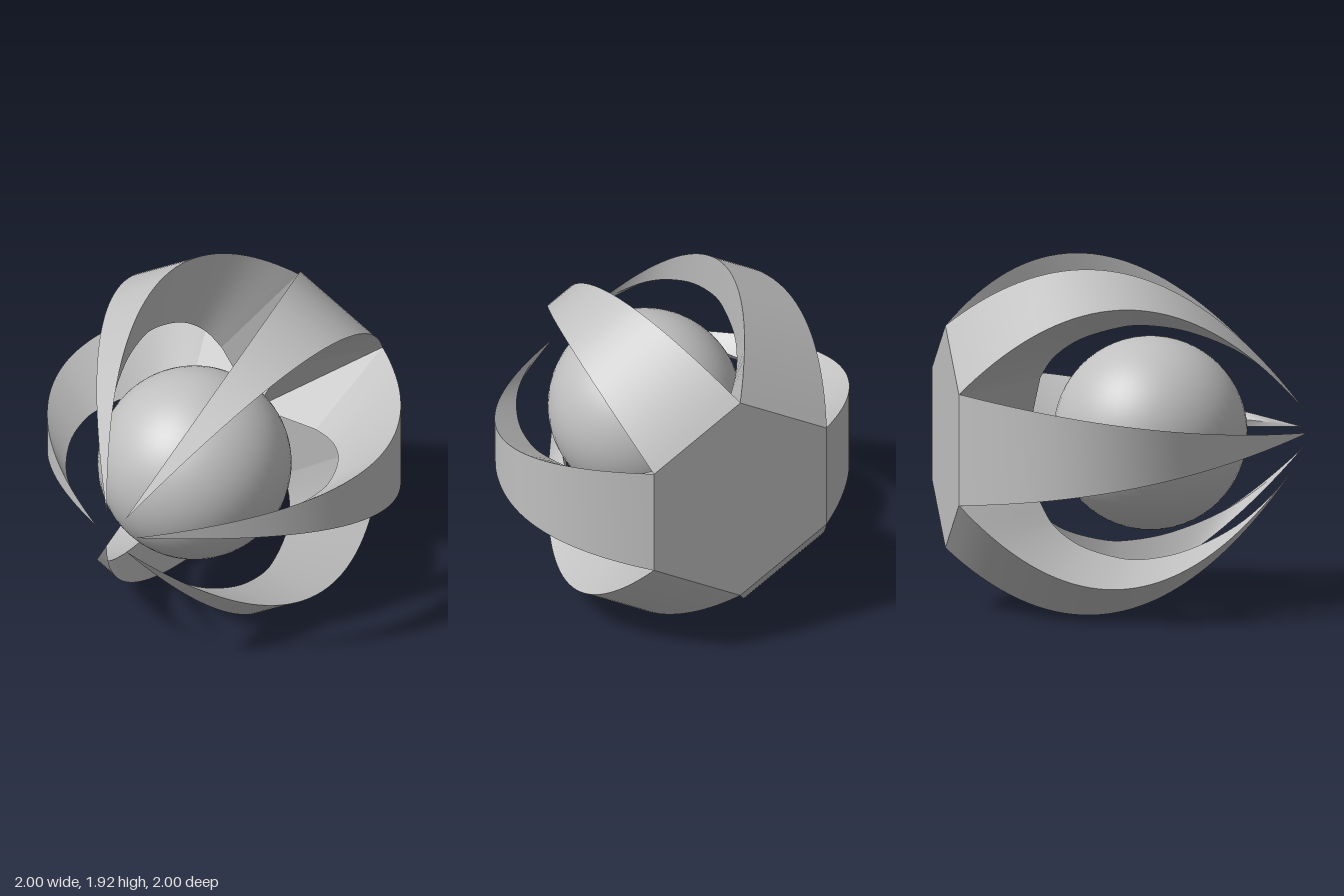
import * as THREE from 'three';
import { toCreasedNormals } from 'three/addons/utils/BufferGeometryUtils.js';

const AXIS_Y = 0.96;   // height of the central axis
const STEPS = 40;      // sections along each claw

const grey = new THREE.MeshStandardMaterial({ color: 0xc0c0c0 });
grey.name = 'grey';

// Profiles as (radius, z), from the base to the tip
const outer = new THREE.QuadraticBezierCurve(
  new THREE.Vector2(0.535, -1), new THREE.Vector2(1.64, -0.065), new THREE.Vector2(0.12, 1));
const ridge = new THREE.SplineCurve([
  [0.4, -0.5], [0.54, -0.435], [0.66, -0.3], [0.735, -0.1], [0.75, 0.06],
  [0.7, 0.3], [0.56, 0.58], [0.36, 0.81], [0.12, 1],
].map(([r, z]) => new THREE.Vector2(r, z)));

// Non-indexed geometry from a list of triangles
function fromTriangles(triangles, crease) {
  const geometry = new THREE.BufferGeometry();
  geometry.setAttribute('position', new THREE.Float32BufferAttribute(triangles.flat(2), 3));
  return toCreasedNormals(geometry, crease);
}

// Claw pointing along +x: flat outer band, sides sloping in to a sharp inner ridge
function clawGeometry() {
  const sections = [];
  for (let i = 0; i <= STEPS; i++) {
    const o = outer.getPoint(i / STEPS), n = ridge.getPoint(i / STEPS);
    const w = 0.31 * (1 - o.y) / 2;
    sections.push([[o.x, -w, o.y], [o.x, w, o.y], [n.x, 0, n.y]]);
  }
  const tris = [];
  for (let i = 0; i < STEPS; i++) {
    const a = sections[i], b = sections[i + 1];
    for (let k = 0; k < 3; k++) {
      const m = (k + 1) % 3;
      tris.push([a[k], a[m], b[m]], [a[k], b[m], b[k]]);
    }
  }
  return fromTriangles(tris, 0.4);
}

// One sixth of the hexagonal base: back plate and the hollow towards the centre
function baseGeometry() {
  const low = [0.535, -0.31, -1], high = [0.535, 0.31, -1];
  const inner = [0.4, 0, -0.5], apex = [0, 0, -0.54];
  return fromTriangles([
    [[0, 0, -1], high, low],
    [high, apex, inner],
    [inner, apex, low],
  ], 0.1);
}

export function createModel() {
  const model = new THREE.Group();
  model.name = 'clawedOrb';

  const claw = clawGeometry(), base = baseGeometry();
  for (let i = 0; i < 6; i++) {
    const sector = new THREE.Group();
    sector.name = `clawSector${i + 1}`;
    const clawMesh = new THREE.Mesh(claw, grey);
    clawMesh.name = 'claw';
    const baseMesh = new THREE.Mesh(base, grey);
    baseMesh.name = 'baseWedge';
    sector.add(clawMesh, baseMesh);
    sector.position.y = AXIS_Y;
    sector.rotation.z = i * Math.PI / 3;
    model.add(sector);
  }

  // Floating ball held between the claws
  const ball = new THREE.Mesh(new THREE.SphereGeometry(0.535, 48, 32), grey);
  ball.name = 'ball';
  ball.position.set(0, AXIS_Y, 0.14);
  model.add(ball);

  return model;
}
